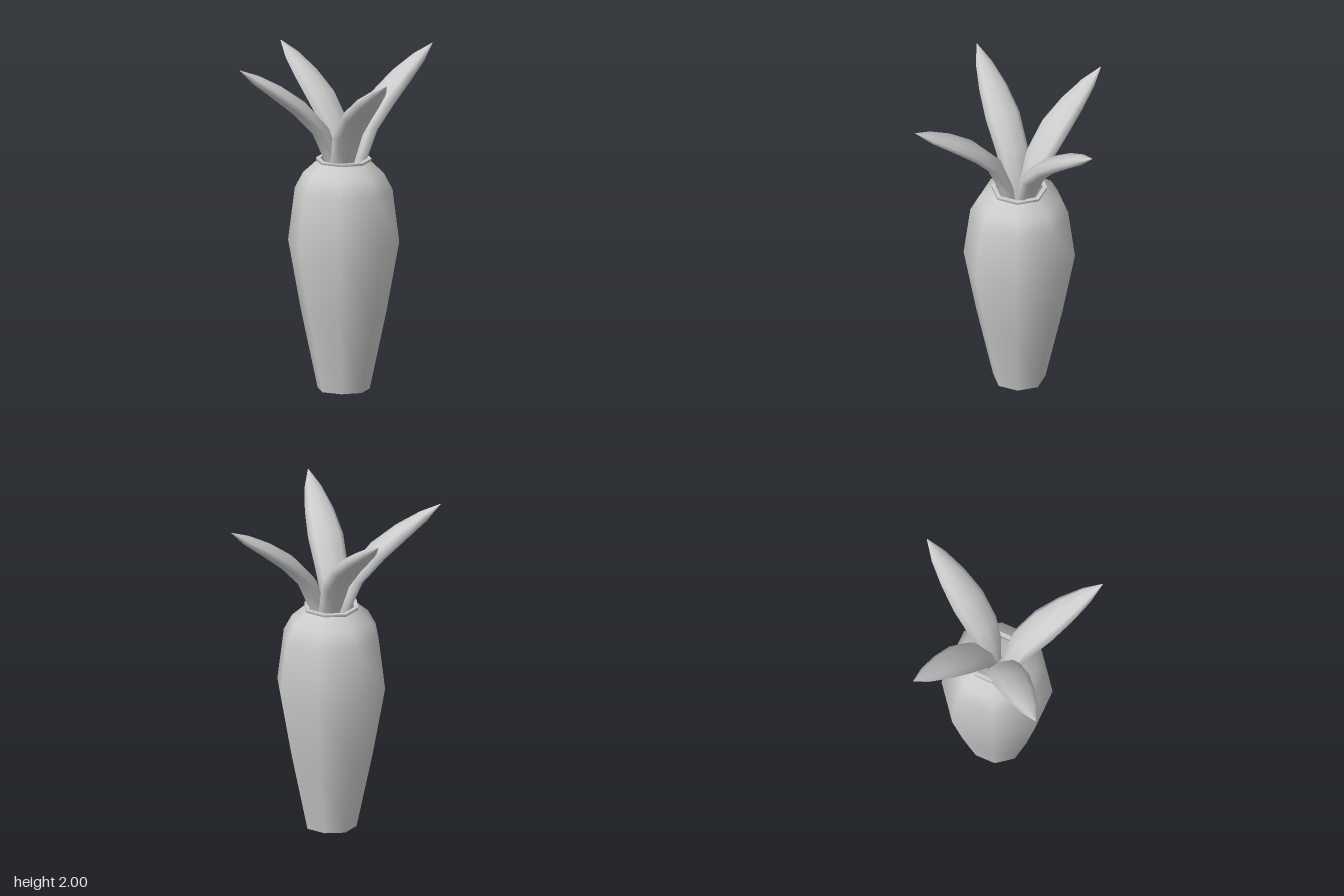
import * as THREE from 'three';

const material = new THREE.MeshStandardMaterial({ color: 0xcccccc, side: THREE.DoubleSide });
const CX = 0.05, CZ = -0.07; // vase axis

function addMesh(parent, name, geometry) {
  const mesh = new THREE.Mesh(geometry, material);
  mesh.name = name;
  parent.add(mesh);
  return mesh;
}

// Eight-sided turned surface whose diagonal corners bulge slightly
function octagonLathe(profile) {
  const geo = new THREE.LatheGeometry(profile.map(([r, y]) => new THREE.Vector2(r, y)), 8);
  const pos = geo.attributes.position;
  for (let i = 0; i < pos.count; i++) {
    const column = Math.floor(i / profile.length);
    const s = column % 2 ? 1.05 : 1;
    pos.setXYZ(i, pos.getX(i) * s, pos.getY(i), pos.getZ(i) * s);
  }
  return geo;
}

function createVase() {
  const vase = new THREE.Group();
  vase.name = 'vase';
  vase.position.set(CX, 0, CZ);
  const outer = [[0.155, 0], [0.255, 0.48], [0.33, 0.9], [0.29, 1.22], [0.24, 1.315], [0.158, 1.39]];
  const inner = [[0.14, 1.405], [0.14, 1.38], [0.215, 1.295], [0.262, 1.2], [0.3, 0.9], [0.225, 0.48], [0.125, 0.03]];
  addMesh(vase, 'outerWall', octagonLathe(outer));
  addMesh(vase, 'innerWall', octagonLathe(inner));
  addMesh(vase, 'rimSide', octagonLathe([[0.158, 1.389], [0.165, 1.39], [0.165, 1.405]]));
  addMesh(vase, 'rimTop', octagonLathe([[0.165, 1.405], [0.14, 1.405]]));
  addMesh(vase, 'footRing', octagonLathe([[0.12, 0], [0.155, 0]]));
  addMesh(vase, 'footRecess', octagonLathe([[0.125, 0.03], [0.12, 0]]));
  addMesh(vase, 'floor', octagonLathe([[0, 0.03], [0.125, 0.03]]));
  return vase;
}

// Leaf sections: height, share of the way out to the tip, half width, half thickness
const SECTIONS = [
  [1.22, -0.06, 0.05, 0.03],
  [1.4, 0.0, 0.08, 0.042],
  [1.58, 0.12, 0.1, 0.048],
  [1.73, 0.35, 0.108, 0.05],
  [1.84, 0.59, 0.088, 0.044],
  [1.93, 0.82, 0.052, 0.03],
  [2.0, 1.0, 0.002, 0.002],
];

function createLeaf([bx, bz], [tx, tz]) {
  const SIDES = 8, verts = [], index = [];
  const centres = SECTIONS.map(([y, f]) =>
    new THREE.Vector3(bx + (tx - bx) * f, y, bz + (tz - bz) * f));
  const across = new THREE.Vector3(tz - bz, 0, bx - tx).normalize();
  const last = centres.length - 1;
  centres.forEach((c, i) => {
    const tangent = centres[Math.min(i + 1, last)].clone().sub(centres[Math.max(i - 1, 0)]).normalize();
    const depth = new THREE.Vector3().crossVectors(tangent, across);
    const [, , w, t] = SECTIONS[i];
    for (let j = 0; j < SIDES; j++) {
      const a = (j / SIDES) * Math.PI * 2;
      const p = c.clone().addScaledVector(across, Math.cos(a) * w).addScaledVector(depth, Math.sin(a) * t);
      verts.push(p.x, Math.min(p.y, 2), p.z);
      if (i < last) {
        const k = (j + 1) % SIDES, r = i * SIDES, n = r + SIDES;
        index.push(r + j, r + k, n + j, r + k, n + k, n + j);
      }
    }
  });
  // Close the hidden base
  for (let j = 1; j < SIDES - 1; j++) index.push(0, j + 1, j);
  const geo = new THREE.BufferGeometry();
  geo.setAttribute('position', new THREE.Float32BufferAttribute(verts, 3));
  geo.setIndex(index);
  geo.computeVertexNormals();
  return geo;
}

export function createModel() {
  const model = new THREE.Group();
  model.name = 'vaseWithLeaves';
  model.add(createVase());

  // Each leaf: foot at the vase mouth and tip, as x and z
  const leaves = [
    ['backLeftLeaf', [0.125, -0.115], [0.54, -0.53]],
    ['backRightLeaf', [0.04, -0.13], [-0.36, -0.53]],
    ['frontRightLeaf', [-0.02, -0.05], [-0.545, 0.215]],
    ['frontLeftLeaf', [0.05, 0.015], [0.35, 0.53]],
  ];
  for (const [name, foot, tip] of leaves) addMesh(model, name, createLeaf(foot, tip));
  return model;
}
